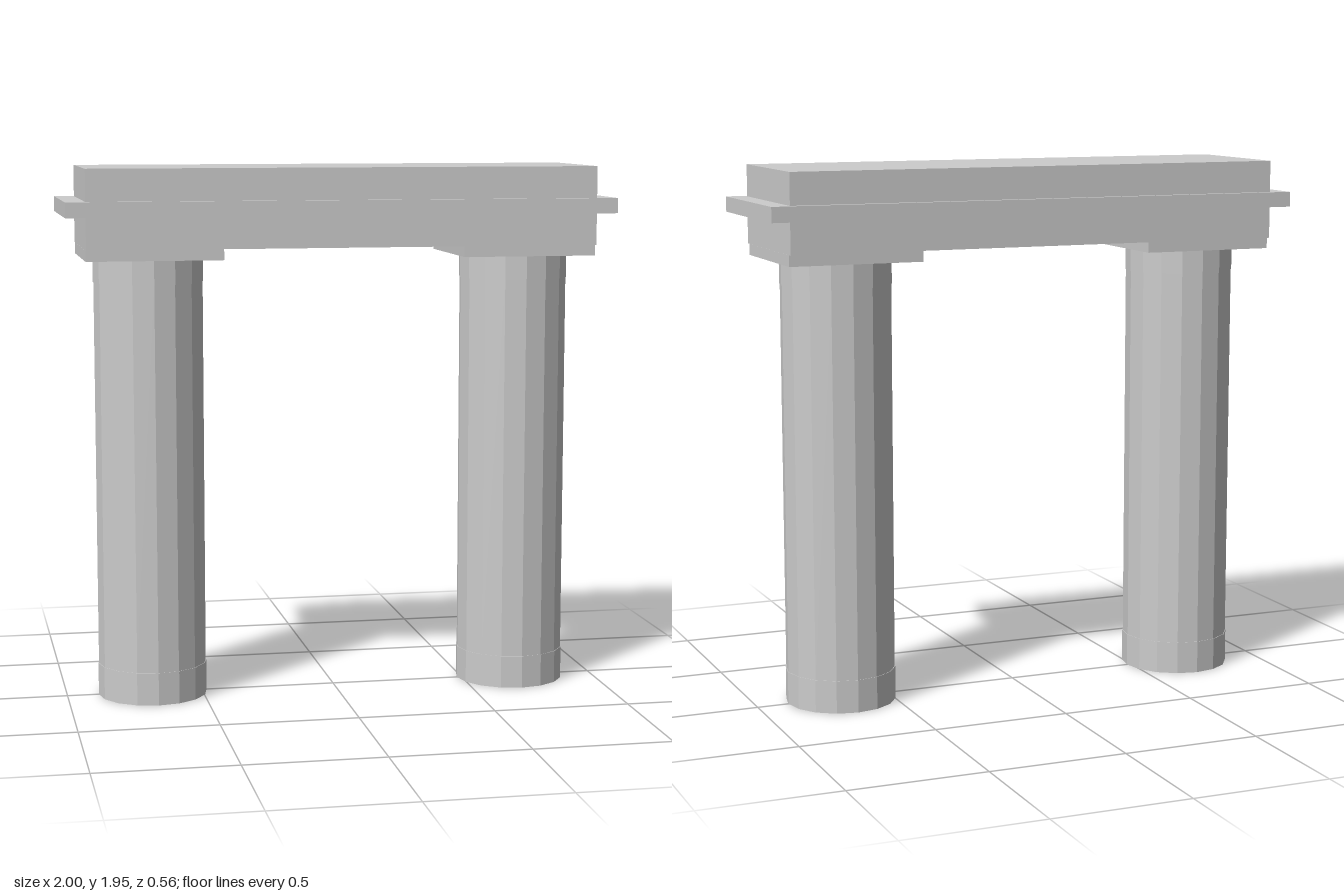
import * as THREE from 'three';

export function createModel() {
  const model = new THREE.Group();
  const material = new THREE.MeshStandardMaterial({ color: 0xcccccc, flatShading: true });

  function add(parent, name, geometry, x, bottom, top) {
    const mesh = new THREE.Mesh(geometry, material);
    mesh.name = name;
    mesh.position.set(x, (bottom + top) / 2, 0);
    parent.add(mesh);
  }
  const slab = (parent, name, width, depth, x, bottom, top) =>
    add(parent, name, new THREE.BoxGeometry(width, top - bottom, depth), x, bottom, top);
  const drum = (parent, name, radius, bottom, top) =>
    add(parent, name, new THREE.CylinderGeometry(radius, radius, top - bottom, 16), 0, bottom, top);

  // Two sixteen-sided columns with a barely recessed shaft between end rings
  for (const side of [1, -1]) {
    const column = new THREE.Group();
    column.name = side > 0 ? 'leftColumn' : 'rightColumn';
    column.position.x = side * 0.683;
    drum(column, 'baseRing', 0.201, 0, 0.12);
    drum(column, 'shaft', 0.199, 0.12, 1.53);
    drum(column, 'neckRing', 0.201, 1.53, 1.62);
    slab(column, 'capital', 0.49, 0.485, 0, 1.62, 1.66);
    model.add(column);
  }

  // Lintel: beam, projecting cornice and top block
  slab(model, 'beam', 1.855, 0.52, 0, 1.66, 1.775);
  slab(model, 'cornice', 2, 0.565, 0, 1.775, 1.83);
  slab(model, 'topBlock', 1.855, 0.52, 0, 1.83, 1.945);

  return model;
}
